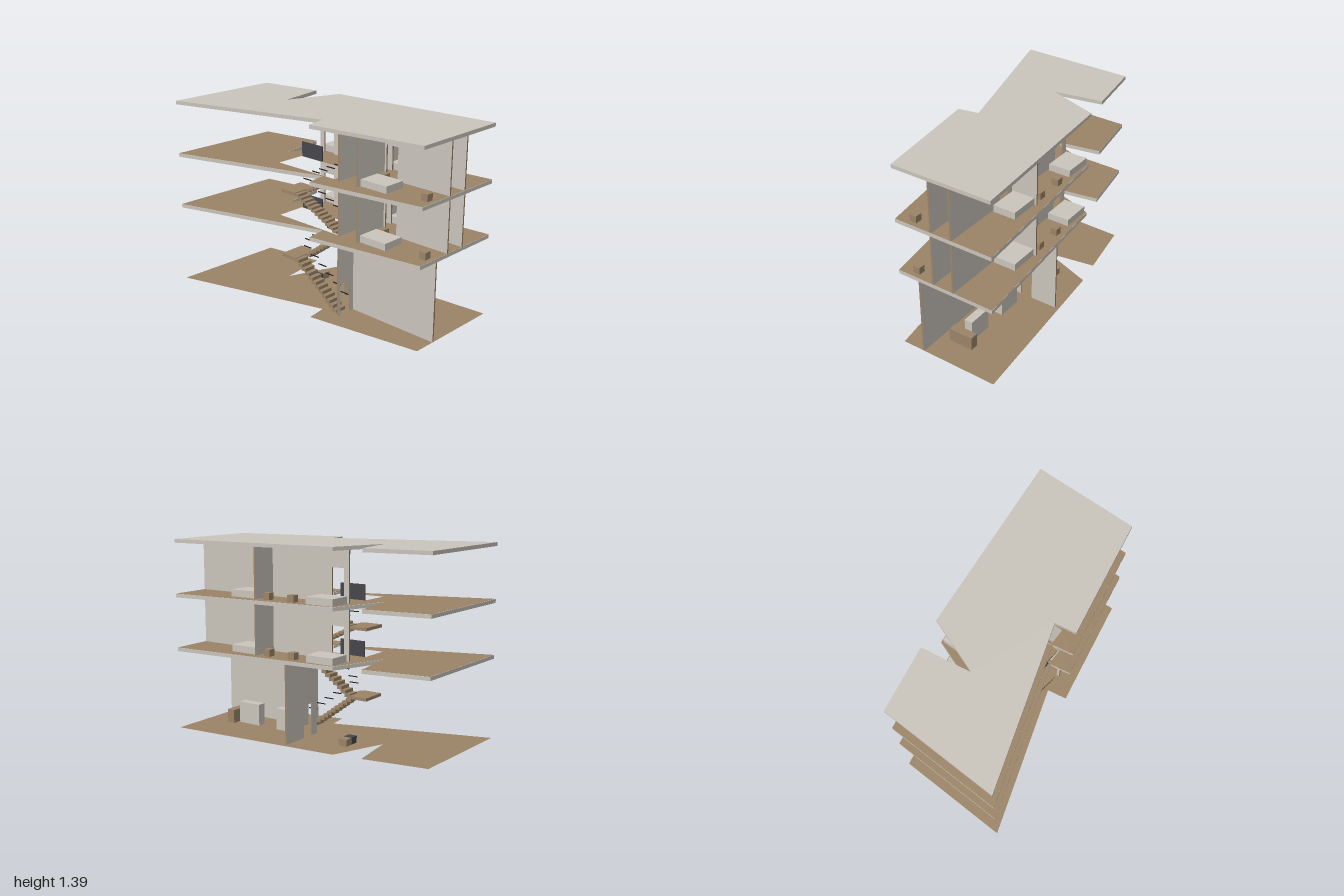
import * as THREE from 'three';

const mat = (name, color, side = THREE.FrontSide) => {
  const m = new THREE.MeshStandardMaterial({ color, side });
  m.name = name;
  return m;
};

export function createModel() {
  const plaster = mat('plaster', 0xc9c4bb);
  const wood = mat('wood', 0x9b8467, THREE.DoubleSide);
  const charcoal = mat('charcoal', 0x45454b);
  const black = mat('black', 0x1c1c1e);
  const model = new THREE.Group();
  model.name = 'house';
  const T = 0.012; // wall thickness

  const add = (name, geometry, material, parent = model) => {
    const mesh = new THREE.Mesh(geometry, material);
    mesh.name = name;
    parent.add(mesh);
    return mesh;
  };
  // Box given by its ranges along each axis
  const box = (name, [x0, x1], [y0, y1], [z0, z1], material, parent) => {
    const g = new THREE.BoxGeometry(x1 - x0, y1 - y0, z1 - z0);
    g.translate((x0 + x1) / 2, (y0 + y1) / 2, (z0 + z1) / 2);
    return add(name, g, material, parent);
  };

  // Slab plan as x, z points, with an optional stairwell
  const outline = [[-0.54, -1], [0.315, -0.97], [0.39, -0.505], [0.03, -0.45], [0.425, -0.3],
    [0.535, 1], [-0.215, 1], [-0.35, 0.155], [-0.2, 0.13]];
  const well = [[-0.19, -0.305], [0.03, -0.305], [0.03, 0.255], [-0.19, 0.255]];
  const toPoints = (list) => list.map(([x, z]) => new THREE.Vector2(x, -z));
  const plan = (open) => {
    const s = new THREE.Shape(toPoints(outline));
    if (open) s.holes.push(new THREE.Path(toPoints(well)));
    return s;
  };
  const slab = (name, y, h, open) => add(name, new THREE.ExtrudeGeometry(plan(open), { depth: h, bevelEnabled: false })
    .rotateX(-Math.PI / 2).translate(0, y, 0), plaster);
  const finish = (name, y, open) => add(name, new THREE.ShapeGeometry(plan(open))
    .rotateX(-Math.PI / 2).translate(0, y, 0), wood);

  finish('groundFloor', 0.001, false);
  slab('firstFloorSlab', 0.576, 0.026, true);
  finish('firstFloorFinish', 0.6035, true);
  slab('secondFloorSlab', 0.971, 0.026, true);
  finish('secondFloorFinish', 0.9985, true);
  slab('roof', 1.364, 0.026, false);

  // Wall with door notches; faces are plaster, edges wood
  const wallGeometry = (a, b, h, doors) => {
    const s = new THREE.Shape().moveTo(a, 0);
    for (const [d0, d1] of doors) s.lineTo(d0, 0).lineTo(d0, 0.236).lineTo(d1, 0.236).lineTo(d1, 0);
    s.lineTo(b, 0).lineTo(b, h).lineTo(a, h);
    return new THREE.ExtrudeGeometry(s, { depth: T, bevelEnabled: false }).translate(0, 0, -T / 2);
  };
  const crossWall = (name, x0, x1, z, y, h, doors = []) =>
    add(name, wallGeometry(x0, x1, h, doors).translate(0, y, z), [plaster, wood]);
  const longWall = (name, zFront, zBack, x, y, h, doors = []) =>
    add(name, wallGeometry(-zFront, -zBack, h, doors.map(([f, b]) => [-f, -b]))
      .rotateY(Math.PI / 2).translate(x, y, 0), [plaster, wood]);

  // Ground floor walls
  longWall('groundLongWall', 1, 0.286, -0.046, 0.001, 0.575);
  crossWall('groundStairWall', -0.203, 0.061, 0.28, 0.001, 0.575, [[-0.18, -0.08]]);
  crossWall('groundRoomWall', 0.074, 0.428, 0.092, 0.001, 0.575, [[0.13, 0.226]]);

  // Ground floor furniture
  box('sideboard', [0.03, 0.217], [0.001, 0.1], [0.75, 0.812], wood);
  for (const z of [0.642, 0.292]) box('counter', [0.104, 0.166], [0, 0.16], [z - 0.093, z + 0.093], plaster);
  box('woodStool', [0.167, 0.228], [0.001, 0.05], [-0.278, -0.213], wood);
  box('darkStool', [0.1, 0.16], [0, 0.05], [-0.278, -0.213], charcoal);

  // Upper floors: walls, beds, nightstands and stair guard
  for (const y of [0.603, 0.998]) {
    const h = 0.367;
    longWall('rightRoomWall', 1, -0.3, 0.228, y, h, [[0.49, 0.39], [-0.16, -0.26]]);
    longWall('leftRoomWall', 1, 0.29, 0.07, y, h, [[0.57, 0.47], [0.43, 0.33]]);
    crossWall('rightPartition', 0.234, 0.428, 0.353, y, h);
    crossWall('leftPartition', -0.203, 0.064, 0.45, y, h);
    crossWall('stairPartition', -0.203, 0.064, 0.284, y, h);
    const bed = (x, z) => box('bed', [x - 0.083, x + 0.083], [y, y + 0.05], [z - 0.11, z + 0.11], plaster);
    bed(0.328, 0.47);
    bed(0.328, -0.18);
    bed(-0.097, 0.57);
    for (const [x, z] of [[0.388, 0.055], [0.388, 0.265], [-0.095, 0.94], [0.025, 0.49]]) {
      box('nightstand', [x - 0.026, x + 0.026], [y, y + 0.05], [z - 0.026, z + 0.026], wood);
    }
    box('stairGuard', [0.034, 0.042], [y, y + 0.11], [-0.3, -0.1], charcoal);
  }

  // Two-flight stairs with stepped handrails
  const stairs = (y, half) => {
    const g = new THREE.Group();
    g.name = 'stairs';
    model.add(g);
    const n = 12, run = 0.405 / n, rise = half / n;
    for (let i = 0; i < n; i++) {
      const z = 0.245 - i * run, zUp = -0.16 + i * run;
      const low = y + i * rise, up = y + half + i * rise;
      box('lowerStep', [-0.18, -0.088], [low, low + rise], [z - run - 0.008, z], wood, g);
      box('upperStep', [-0.076, 0.018], [up - rise * 0.4, up + rise * 0.6], [zUp, zUp + run + 0.008], wood, g);
    }
    box('landing', [-0.18, 0.018], [y + half - 0.018, y + half + 0.004], [-0.3, -0.16], wood, g);
    for (let i = 0; i < 6; i++) {
      const z = 0.24 - i * 0.073, zUp = -0.13 + i * 0.073;
      const low = y + 0.125 + i * half / 6, up = y + half + 0.125 + i * half / 6;
      box('lowerRail', [-0.094, -0.088], [low - 0.003, low + 0.003], [z - 0.037, z + 0.037], black, g);
      box('upperRail', [-0.076, -0.07], [up - 0.003, up + 0.003], [zUp - 0.037, zUp + 0.037], black, g);
    }
  };
  stairs(0.001, 0.297);
  stairs(0.603, 0.195);

  return model;
}
